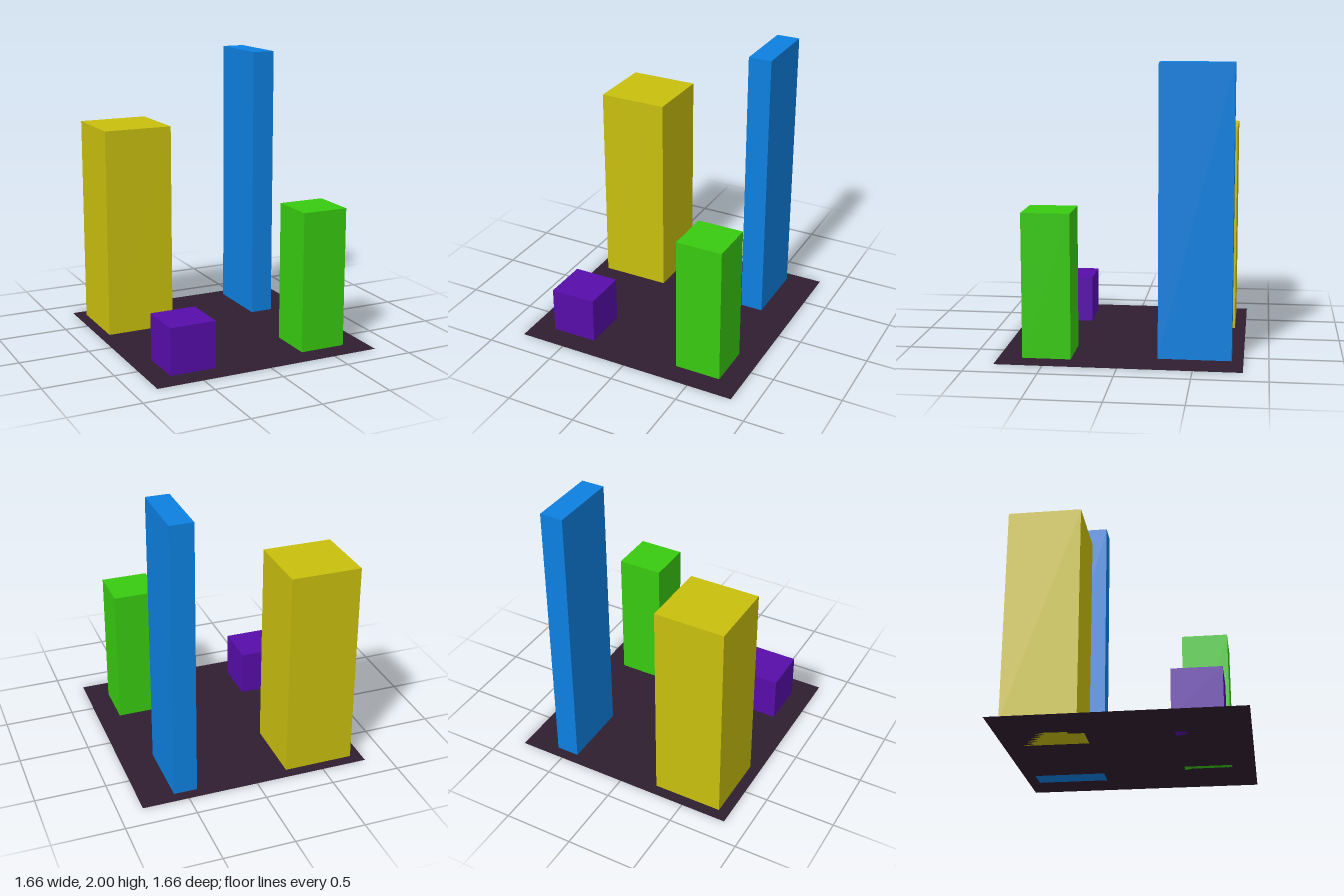
import * as THREE from 'three';

export function createModel() {
  const model = new THREE.Group();

  // Thin ground sheet
  const ground = new THREE.Mesh(
    new THREE.PlaneGeometry(1.66, 1.66).rotateX(-Math.PI / 2),
    new THREE.MeshStandardMaterial({ color: 0x2f1e30, side: THREE.DoubleSide })
  );
  ground.name = 'ground';
  model.add(ground);

  // Box standing on the ground, centred on (x, z)
  const addBlock = (name, color, [w, h, d], x, z) => {
    const block = new THREE.Mesh(
      new THREE.BoxGeometry(w, h, d),
      new THREE.MeshStandardMaterial({ color })
    );
    block.name = name;
    block.position.set(x, h / 2, z);
    model.add(block);
  };

  const third = 1 / 3;
  addBlock('yellowTower', 0xc9bf0e, [0.5, 1.5, 0.5], -0.5, -0.5);
  addBlock('blueSlab', 0x0d80e0, [third / 2, 2, 0.5], 0.5, -0.5);
  addBlock('greenBlock', 0x38ca10, [third, 1, third], 0.5, 0.5);
  addBlock('purpleCube', 0x570daa, [third, third, third], -0.5, 0.5);

  return model;
}
